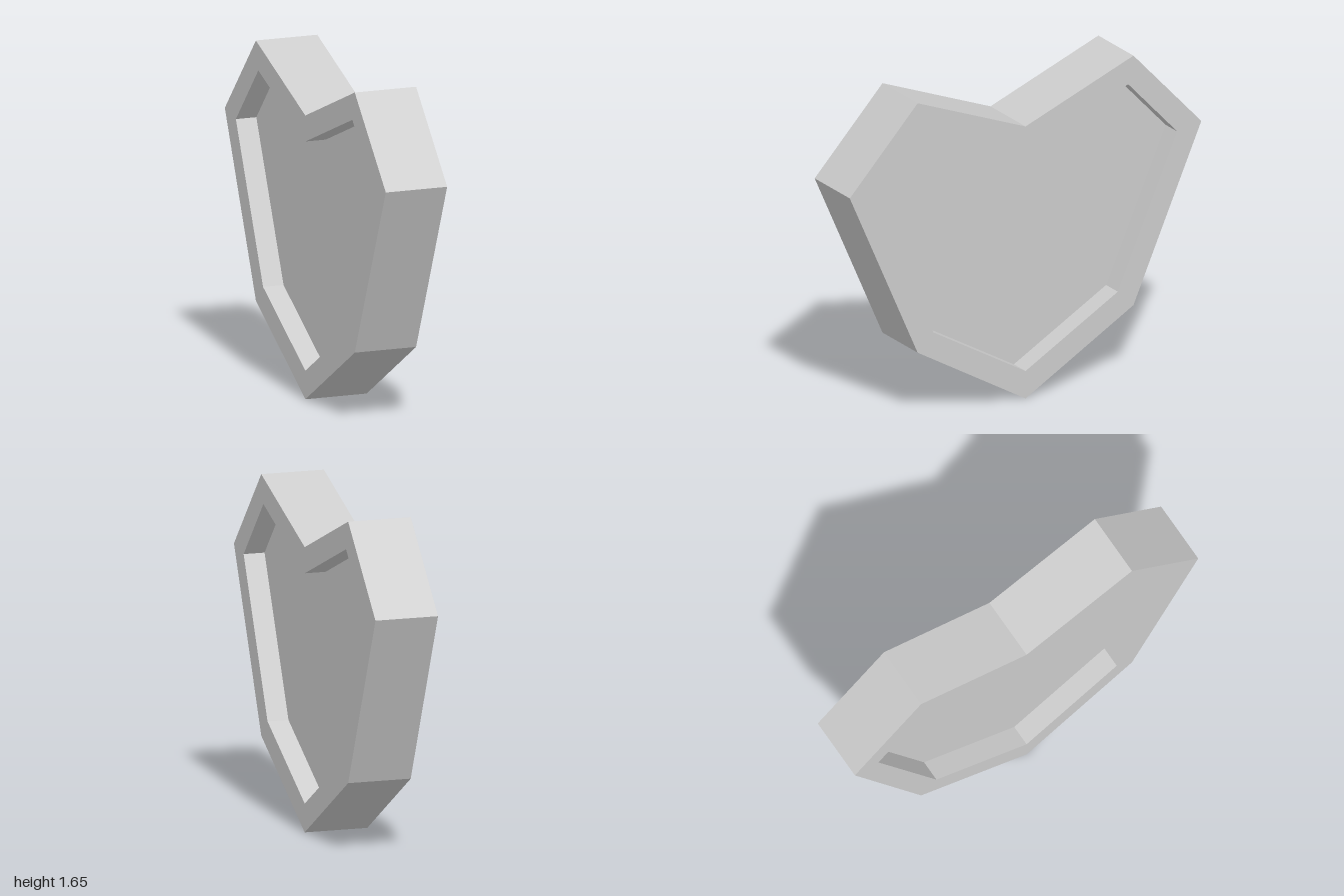
import * as THREE from 'three';

const WIDTH = 0.322;
const PLATE = 0.107;

// Half outlines as [z, y], from the bottom tip to the top notch
const OUTER = [[0, 0], [0.614, 0.36], [1, 1.235], [0.614, 1.65], [0, 1.407]];
const INNER = [[0, 0.142], [0.525, 0.447], [0.863, 1.208], [0.584, 1.508], [0, 1.278]];

// Mirror a half outline into the full heart
function heart(half) {
  const mirrored = half.slice(1, -1).reverse().map(([z, y]) => [-z, y]);
  return [...half, ...mirrored].map(([z, y]) => new THREE.Vector2(z, y));
}

// Extrude across x, centred on x = 0
function slab(shape, width, material, name) {
  const geometry = new THREE.ExtrudeGeometry(shape, { depth: width, bevelEnabled: false });
  geometry.translate(0, 0, -width / 2).rotateY(Math.PI / 2);
  const mesh = new THREE.Mesh(geometry, material);
  mesh.name = name;
  return mesh;
}

export function createModel() {
  const grey = new THREE.MeshStandardMaterial({ color: 0xcccccc });
  grey.name = 'light grey';

  const group = new THREE.Group();
  group.name = 'heart';

  // Raised border around the heart
  const rim = new THREE.Shape(heart(OUTER));
  rim.holes.push(new THREE.Path(heart(INNER)));
  group.add(slab(rim, WIDTH, grey, 'rim'));

  // Thinner centre, recessed on both sides
  group.add(slab(new THREE.Shape(heart(INNER)), PLATE, grey, 'recessedPanel'));

  // Centre the height range on its z span and stand on the ground
  return group;
}
